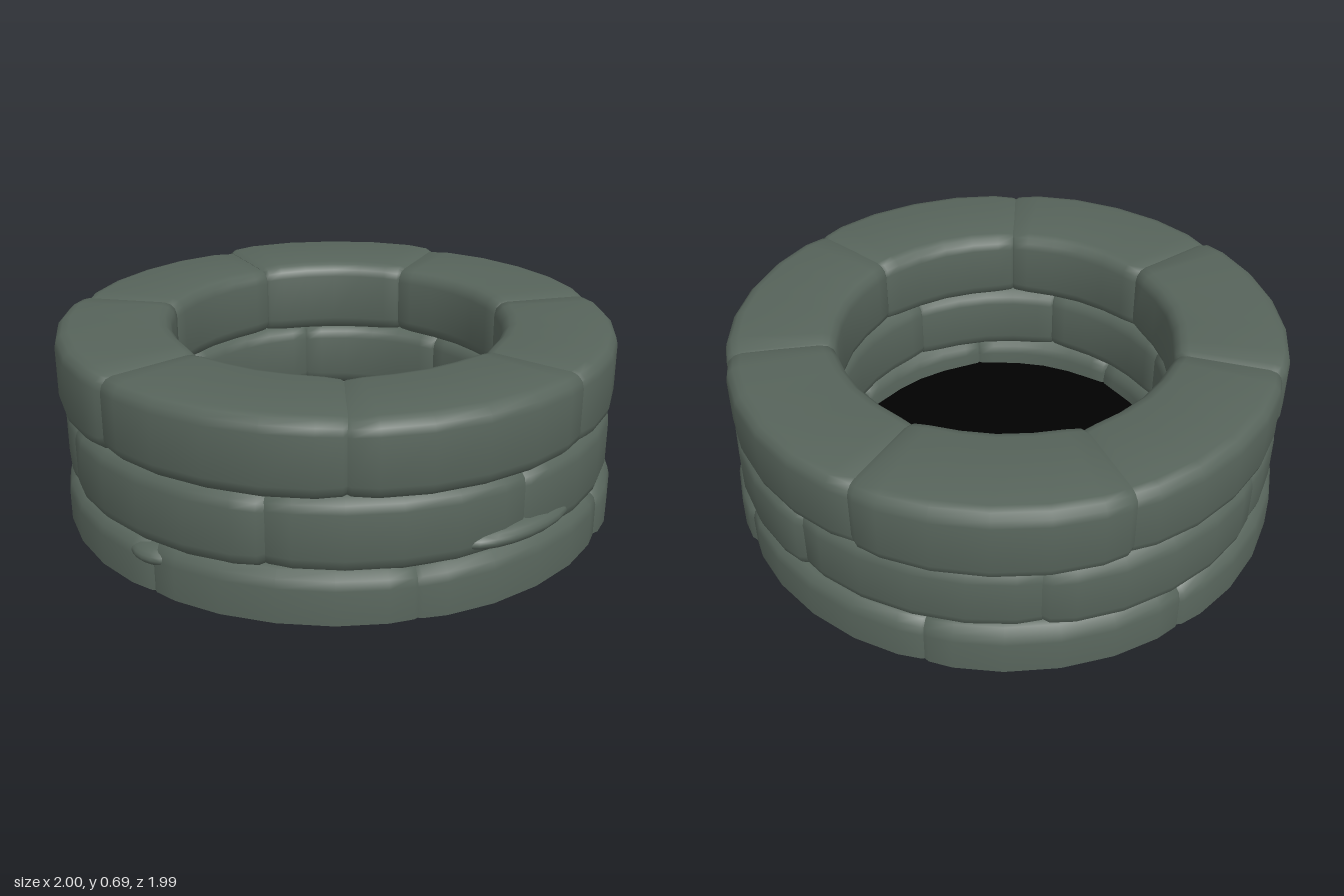
import * as THREE from 'three';
import { toCreasedNormals } from 'three/addons/utils/BufferGeometryUtils.js';

const STONES = 7;
const STEP = (Math.PI * 2) / STONES;

// Rounded rectangle in (radius, height), counter-clockwise; square base corners when flatBase
function section(r0, r1, y0, y1, bevel, flatBase) {
  const pts = [];
  const corner = (cx, cy, start, b) => {
    if (b === 0) { pts.push([cx, cy]); return; }
    for (let k = 0; k <= 3; k++) {
      const a = start + (k / 3) * Math.PI / 2;
      pts.push([cx + b * Math.cos(a), cy + b * Math.sin(a)]);
    }
  };
  const low = flatBase ? 0 : bevel;
  corner(r1 - low, y0 + low, -Math.PI / 2, low);
  corner(r1 - bevel, y1 - bevel, 0, bevel);
  corner(r0 + bevel, y1 - bevel, Math.PI / 2, bevel);
  corner(r0 + low, y0 + low, Math.PI, low);
  return pts;
}

// One curved block: the section swept round the axis and pinched at both ends
function stoneGeometry(profile, a0, a1, flatBase) {
  const stations = [[0, 0.87], [0.03, 0.945], [0.12, 0.985], [0.3, 1], [0.5, 1], [0.7, 1], [0.88, 0.985], [0.97, 0.945], [1, 0.87]];
  const n = profile.length;
  const cr = profile.reduce((s, p) => s + p[0], 0) / n;
  const ys = profile.map((p) => p[1]);
  const middle = (Math.min(...ys) + Math.max(...ys)) / 2;
  const cy = flatBase ? 0 : middle;
  const pos = [], idx = [];
  const put = (r, y, a) => pos.push(r * Math.sin(a), y, r * Math.cos(a));
  for (const [t, s] of stations) {
    const a = a0 + (a1 - a0) * t;
    for (const [r, y] of profile) put(cr + (r - cr) * s, cy + (y - cy) * s, a);
  }
  const last = (stations.length - 1) * n;
  const c0 = pos.length / 3;
  put(cr, middle, a0);
  put(cr, middle, a1);
  for (let j = 0; j < n; j++) {
    const k = (j + 1) % n;
    for (let i = 0; i < last; i += n) {
      idx.push(i + j, i + n + j, i + n + k, i + j, i + n + k, i + k);
    }
    idx.push(c0, j, k, c0 + 1, last + k, last + j);
  }
  const g = new THREE.BufferGeometry();
  g.setAttribute('position', new THREE.Float32BufferAttribute(pos, 3));
  g.setIndex(idx);
  return toCreasedNormals(g, 0.85);
}

export function createModel() {
  const model = new THREE.Group();
  model.name = 'stoneWell';
  const stone = new THREE.MeshStandardMaterial({ color: 0x57645b });
  stone.name = 'mossy grey stone';
  const dark = new THREE.MeshStandardMaterial({ color: 0x010101 });
  dark.name = 'dark shaft';

  const add = (geometry, material, name, parent = model) => {
    const mesh = new THREE.Mesh(geometry, material);
    mesh.name = name;
    parent.add(mesh);
    return mesh;
  };

  // Three courses of stones with staggered joints
  const courses = [
    { name: 'bottomCourse', y0: 0, y1: 0.18, r0: 0.6, r1: 0.99, bevel: 0.06, turn: 13, flat: true,
      out: [0, 0.012, 0, 0.005, 0.008, 0, 0], lift: [0, -0.01, 0, 0.005, 0, -0.01, 0] },
    { name: 'middleCourse', y0: 0.16, y1: 0.425, r0: 0.595, r1: 0.98, bevel: 0.055, turn: 36, flat: false,
      out: [0, 0.005, -0.01, 0.005, 0, 0.008, -0.005], lift: [0, 0, 0, 0, 0, 0, 0] },
    { name: 'topCourse', y0: 0.41, y1: 0.675, r0: 0.59, r1: 0.985, bevel: 0.05, turn: 0, flat: false,
      out: [0.005, 0.003, 0, 0.015, 0, 0.012, 0.005], lift: [0, 0, 0.002, 0.012, 0, 0.01, 0.003] },
  ];
  for (const c of courses) {
    const group = new THREE.Group();
    group.name = c.name;
    model.add(group);
    for (let i = 0; i < STONES; i++) {
      const a = THREE.MathUtils.degToRad(c.turn) + i * STEP;
      const profile = section(c.r0, c.r1 + c.out[i], c.y0, c.y1 + c.lift[i], c.bevel, c.flat);
      add(stoneGeometry(profile, a - 0.015, a + STEP + 0.015, c.flat), stone, 'stone', group);
    }
  }

  // Small wedged chips in the lower joints: angle, height, length, thickness
  for (const [deg, y, len, h] of [[36, 0.215, 0.24, 0.045], [-40, 0.12, 0.11, 0.04]]) {
    const a = THREE.MathUtils.degToRad(deg);
    const chip = add(new THREE.SphereGeometry(1, 20, 12), stone, 'wedgedChip');
    chip.scale.set(len, h, 0.09);
    chip.position.set(0.91 * Math.sin(a), y, 0.91 * Math.cos(a));
    chip.rotation.y = a;
  }

  // Dark shaft floor and stone underside
  const floor = add(new THREE.CircleGeometry(0.68, 40), dark, 'shaftFloor');
  floor.rotation.x = -Math.PI / 2;
  floor.position.y = 0.07;
  const base = add(new THREE.CircleGeometry(0.68, 40), stone, 'underside');
  base.rotation.x = Math.PI / 2;
  base.position.y = 0.002;

  return model;
}
